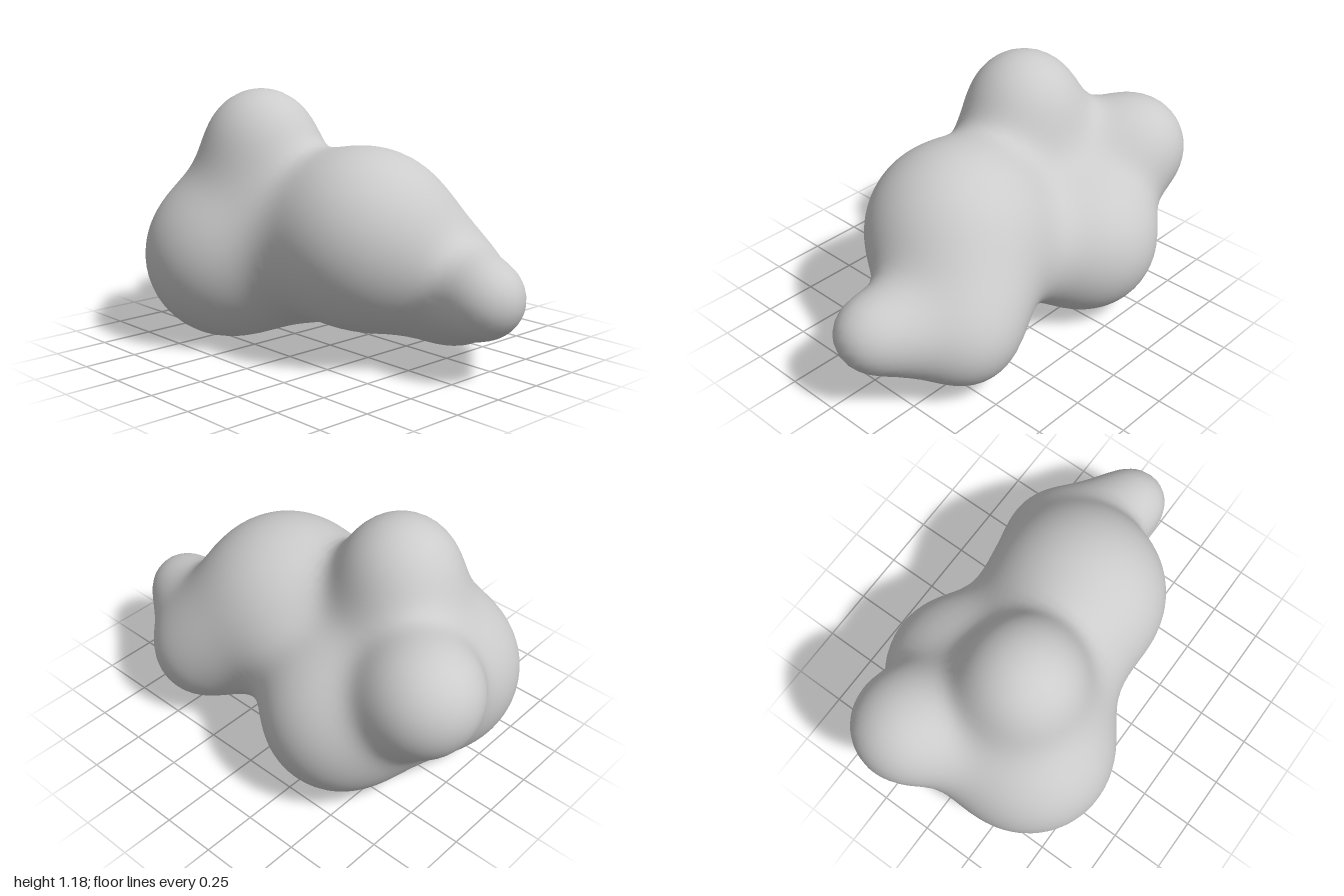
import * as THREE from 'three';

// Lobes of the blob: centre x, y, z and radius
const LOBES = [
  [0.00, 0.545, 0.23, 0.402],   // front body
  [0.235, 0.40, 0.38, 0.205],   // shoulder between front body and low lobe
  [0.32, 0.28, 0.50, 0.197],    // low front lobe
  [0.10, 0.365, 0.85, 0.138],   // nose tip
  [0.175, 0.34, 0.69, 0.13],    // nose root
  [-0.12, 0.47, -0.10, 0.22],   // right waist
  [0.17, 0.43, 0.00, 0.15],     // left waist
  [-0.23, 0.39, -0.47, 0.382],  // back right lobe
  [0.277, 0.35, -0.345, 0.332], // back left lobe
  [0.02, 0.35, -0.40, 0.22],    // belly between the back lobes
  [-0.115, 0.933, -0.345, 0.233], // top lobe
  [-0.115, 0.71, -0.35, 0.24],  // top lobe root
  [0.22, 0.66, -0.755, 0.242],  // rear lobe
  [0.05, 0.52, -0.58, 0.19],    // rear lobe root
];
const SHARPNESS = 12;
const STEP = 0.04;
const MIN = [-0.8, -0.2, -1.2];
const COUNT = [41, 40, 61];

// Smoothly blended distance to all lobes, negative inside
function field(x, y, z) {
  let sum = 0;
  for (const [cx, cy, cz, r] of LOBES) {
    sum += Math.exp(-SHARPNESS * (Math.hypot(x - cx, y - cy, z - cz) - r));
  }
  return -Math.log(sum) / SHARPNESS;
}

function gradient(p) {
  const e = 0.002;
  return new THREE.Vector3(
    field(p.x + e, p.y, p.z) - field(p.x - e, p.y, p.z),
    field(p.x, p.y + e, p.z) - field(p.x, p.y - e, p.z),
    field(p.x, p.y, p.z + e) - field(p.x, p.y, p.z - e)
  ).divideScalar(2 * e);
}

// Slide a point along the gradient onto the surface
function project(p) {
  for (let i = 0; i < 4; i++) {
    const g = gradient(p);
    p.addScaledVector(g, -field(p.x, p.y, p.z) / Math.max(g.lengthSq(), 0.2));
  }
}

// Skin the field: one vertex per crossed cell, one quad per crossed grid edge
function skinGeometry() {
  const [nx, ny, nz] = COUNT;
  const at = (i, j, k) => i + nx * (j + ny * k);
  const values = new Float32Array(nx * ny * nz);
  for (let k = 0; k < nz; k++) for (let j = 0; j < ny; j++) for (let i = 0; i < nx; i++) {
    values[at(i, j, k)] = field(MIN[0] + i * STEP, MIN[1] + j * STEP, MIN[2] + k * STEP);
  }

  const stride = [1, nx, nx * ny];
  const cellVertex = new Map();
  const positions = [];
  const normals = [];
  const index = [];

  for (let k = 0; k < nz - 1; k++) for (let j = 0; j < ny - 1; j++) for (let i = 0; i < nx - 1; i++) {
    // Average the edge crossings of the cell
    const p = new THREE.Vector3();
    let crossings = 0;
    for (let c = 0; c < 8; c++) for (let a = 0; a < 3; a++) {
      if (c & (1 << a)) continue;
      const o = [c & 1, (c >> 1) & 1, c >> 2];
      const corner = at(i + o[0], j + o[1], k + o[2]);
      const v0 = values[corner];
      const v1 = values[corner + stride[a]];
      if ((v0 < 0) === (v1 < 0)) continue;
      o[a] += v0 / (v0 - v1);
      p.add(new THREE.Vector3(...o));
      crossings++;
    }
    if (crossings === 0) continue;
    p.divideScalar(crossings).add(new THREE.Vector3(i, j, k)).multiplyScalar(STEP);
    p.add(new THREE.Vector3(...MIN));
    project(p);
    cellVertex.set(at(i, j, k), positions.length / 3);
    positions.push(...p.toArray());
    normals.push(...gradient(p).normalize().toArray());
  }

  for (let k = 1; k < nz - 1; k++) for (let j = 1; j < ny - 1; j++) for (let i = 1; i < nx - 1; i++) {
    const base = at(i, j, k);
    for (let a = 0; a < 3; a++) {
      const inside = values[base] < 0;
      if (inside === (values[base + stride[a]] < 0)) continue;
      const b = stride[(a + 1) % 3], c = stride[(a + 2) % 3];
      const q = [base - b - c, base - c, base, base - b].map((cell) => cellVertex.get(cell));
      if (!inside) q.reverse();
      index.push(q[0], q[1], q[2], q[0], q[2], q[3]);
    }
  }

  const geometry = new THREE.BufferGeometry();
  geometry.setAttribute('position', new THREE.Float32BufferAttribute(positions, 3));
  geometry.setAttribute('normal', new THREE.Float32BufferAttribute(normals, 3));
  geometry.setIndex(index);
  return geometry;
}

export function createModel() {
  const group = new THREE.Group();
  group.name = 'blobModel';
  const body = new THREE.Mesh(skinGeometry(), new THREE.MeshStandardMaterial({ color: 0xcccccc }));
  body.name = 'lobedBody';
  group.add(body);
  return group;
}
